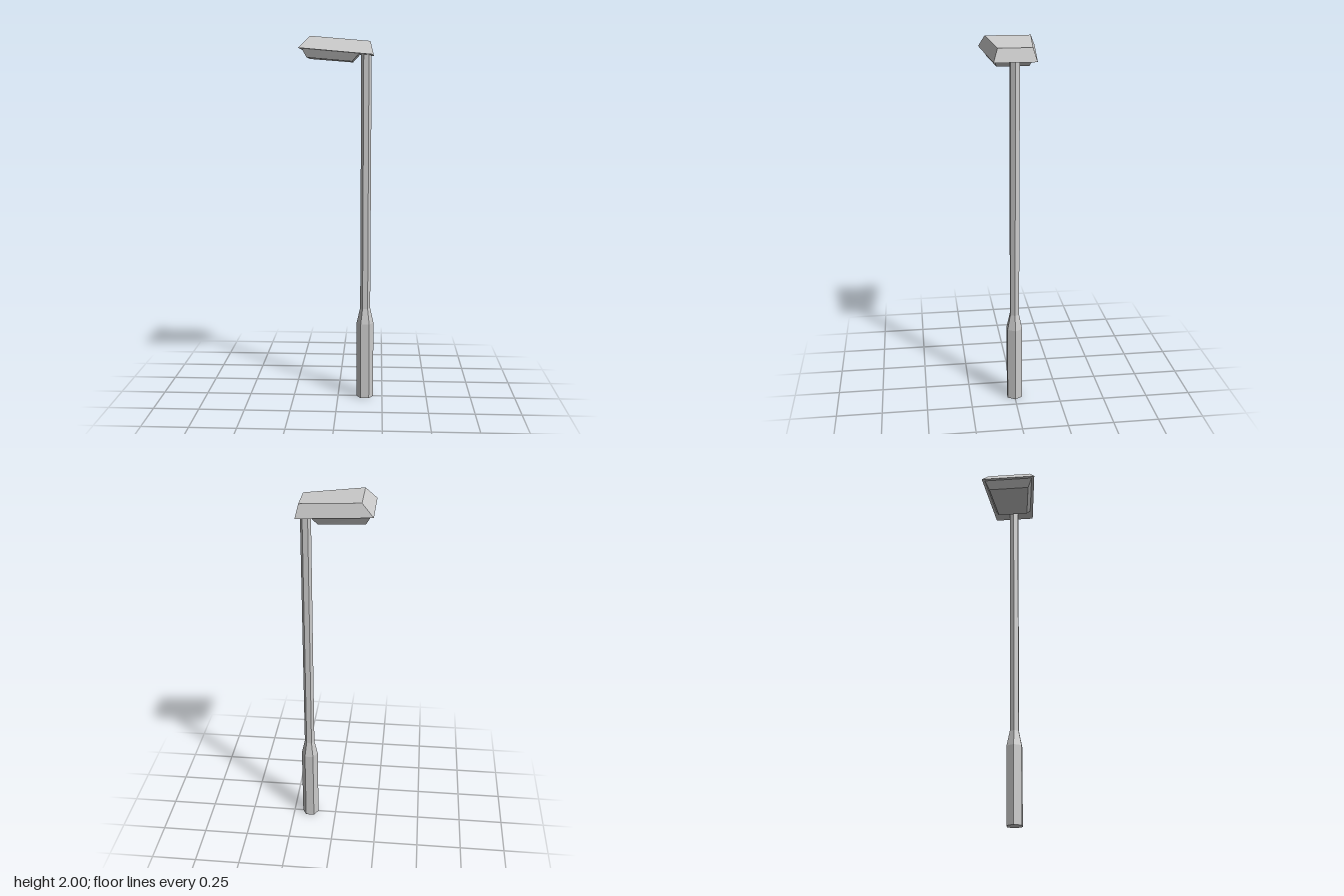
import * as THREE from 'three';

const material = new THREE.MeshStandardMaterial({ color: 0xcccccc, flatShading: true });

// Tapered slab between two trapezoids, each given by its ends [x, y, halfDepth]
function taperedSlab(name, [topA, topB], [lowA, lowB]) {
  const ring = (a, b) => [
    [a[0], a[1], a[2]], [b[0], b[1], b[2]], [b[0], b[1], -b[2]], [a[0], a[1], -a[2]],
  ];
  const positions = [...ring(lowA, lowB), ...ring(topA, topB)].flat();
  const index = [4, 5, 6, 4, 6, 7, 0, 3, 2, 0, 2, 1];
  for (let i = 0; i < 4; i++) {
    const j = (i + 1) % 4;
    index.push(i, j, j + 4, i, j + 4, i + 4);
  }
  const indexed = new THREE.BufferGeometry();
  indexed.setAttribute('position', new THREE.Float32BufferAttribute(positions, 3));
  indexed.setIndex(index);
  const geometry = indexed.toNonIndexed();
  geometry.computeVertexNormals();
  const mesh = new THREE.Mesh(geometry, material);
  mesh.name = name;
  return mesh;
}

// Hexagonal pole section with corners pointing along x
function poleSection(name, rTop, rBottom, y0, y1, open) {
  const geometry = new THREE.CylinderGeometry(rTop, rBottom, y1 - y0, 6, 1, open, Math.PI / 2);
  const mesh = new THREE.Mesh(geometry, material);
  mesh.position.set(0.152, (y0 + y1) / 2, 0);
  mesh.name = name;
  return mesh;
}

export function createModel() {
  const group = new THREE.Group();
  group.name = 'streetLamp';

  // Pole: thick base, short taper, slim shaft
  group.add(
    poleSection('poleBase', 0.047, 0.047, 0, 0.43, false),
    poleSection('poleTaper', 0.028, 0.047, 0.43, 0.515, true),
    poleSection('poleShaft', 0.028, 0.028, 0.515, 1.92, false),
  );

  // Lamp head: sloping housing that widens away from the pole
  group.add(taperedSlab('lampHousing',
    [[-0.14, 2.0, 0.123], [0.174, 1.975, 0.089]],
    [[-0.2, 1.938, 0.153], [0.191, 1.905, 0.111]]));

  // Light cover under the housing
  group.add(taperedSlab('lightCover',
    [[-0.185, 1.938, 0.137], [0.116, 1.912, 0.102]],
    [[-0.16, 1.89, 0.113], [0.078, 1.87, 0.085]]));

  return group;
}
